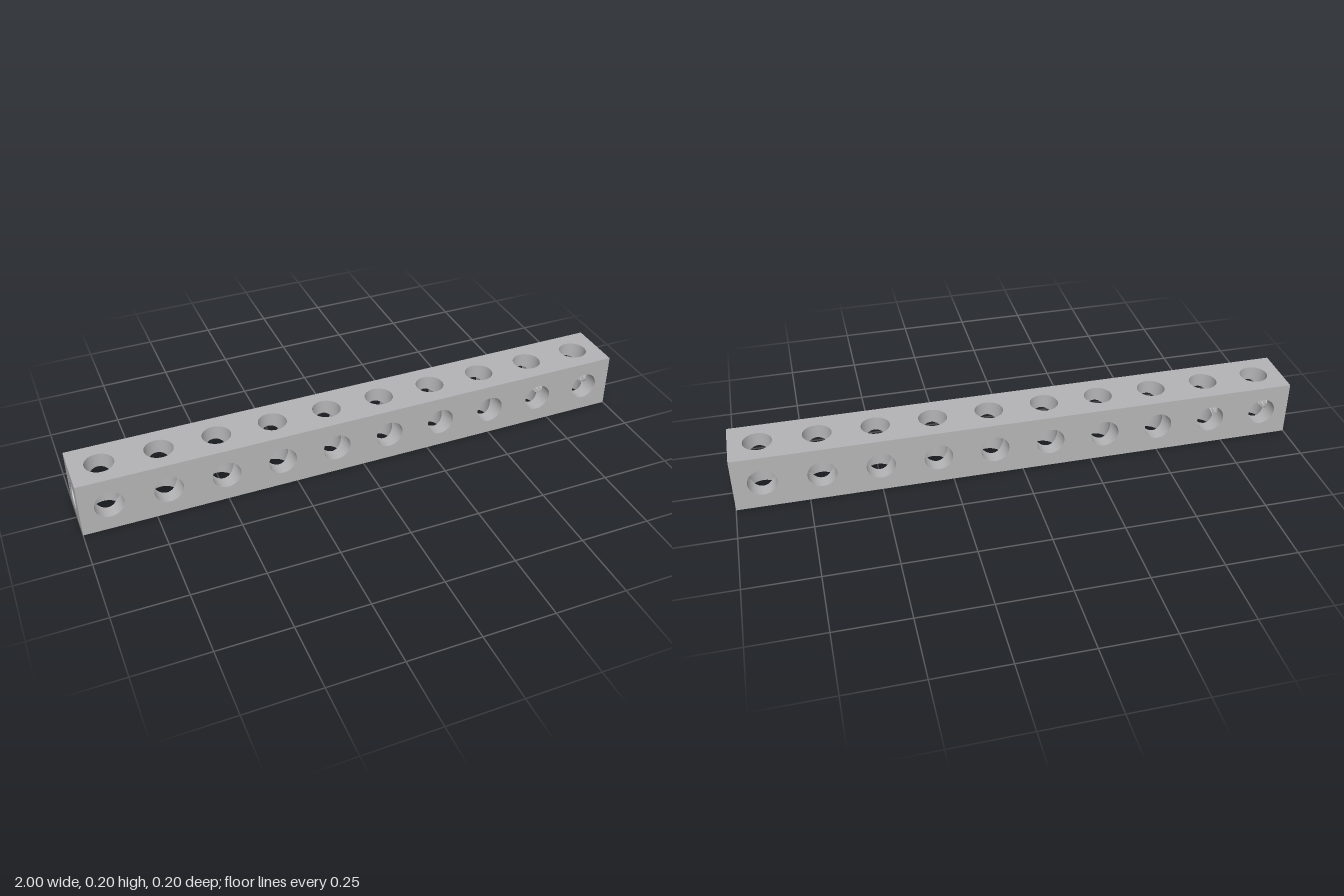
import * as THREE from 'three';
import { toCreasedNormals } from 'three/addons/utils/BufferGeometryUtils.js';

const N = 96;            // segments round every hole
const H = 0.1;           // half thickness of the beam
const R = 0.05;          // radius of the cross holes
const PITCH = 0.0175;    // thread pitch
const MINOR = 0.0415, MAJOR = 0.0495;
const PROFILE = [0, 0.2, 0.5, 0.7]; // crest, flank, root, flank

// Surface from a rule: point(i, j) gives a corner; flip turns the faces round
function grid(ni, nj, point, flip, crease) {
  const pos = [], index = [];
  for (let i = 0; i <= ni; i++) for (let j = 0; j <= nj; j++) pos.push(...point(i, j));
  const same = (a, b) => [0, 1, 2].every(k => Math.abs(pos[a * 3 + k] - pos[b * 3 + k]) < 1e-7);
  const tri = (a, b, c) => {
    if (same(a, b) || same(b, c) || same(a, c)) return;
    if (flip) index.push(a, c, b); else index.push(a, b, c);
  };
  for (let i = 0; i < ni; i++) for (let j = 0; j < nj; j++) {
    const a = i * (nj + 1) + j, b = a + nj + 1;
    tri(a, b, b + 1);
    tri(a, b + 1, a + 1);
  }
  const g = new THREE.BufferGeometry();
  g.setAttribute('position', new THREE.Float32BufferAttribute(pos, 3));
  g.setIndex(index);
  g.computeVertexNormals();
  return crease ? toCreasedNormals(g, crease) : g;
}

// Radius of the threaded bore at an angle round x and a place along x
function boreRadius(phi, x) {
  let p = x / PITCH - phi / (2 * Math.PI);
  p -= Math.floor(p);
  const t = p < 0.2 ? 0 : p < 0.5 ? (p - 0.2) / 0.3 : p < 0.7 ? 1 : (1 - p) / 0.3;
  return MINOR + (MAJOR - MINOR) * t;
}

// Where the bore breaks into the pair of cross holes centred at c
function breakIn(phi, c, side) {
  const m = Math.min(Math.cos(phi) ** 2, Math.sin(phi) ** 2);
  let x = c + side * R;
  for (let k = 0; k < 24; k++) {
    const b = boreRadius(phi, x);
    x = (x + c + side * Math.sqrt(R * R - b * b * m)) / 2;
  }
  return x;
}

// Half of a cross hole's wall, cut by the other cross hole and by the bore
function holeWall(c, alongZ, side, boredSides) {
  const place = (x, a, b) => (alongZ ? [x, b, a] : [x, a, b]);
  return grid(N, 1, (i, j) => {
    const th = (i / N) * Math.PI * 2;
    const x = c + R * Math.cos(th), b = R * Math.sin(th);
    let start = Math.abs(b);
    if (boredSides.includes(Math.sign(Math.cos(th)))) {
      let a = start;
      for (let k = 0; k < 24; k++) {
        const [, y, z] = place(x, side * a, b);
        const r = boreRadius(Math.atan2(z, y), x);
        a = (a + Math.sqrt(Math.max(0, r * r - b * b))) / 2;
      }
      start = Math.max(start, a);
    }
    return place(x, side * (j ? H : start), b);
  }, (side < 0) !== alongZ);
}

// Threaded bore between two limits that depend on the angle
function threadWall(lo, hi, from, to) {
  const k0 = Math.floor(from / PITCH) - 2;
  const count = (Math.ceil(to / PITCH) + 1 - k0) * 4;
  return grid(N, count, (i, j) => {
    const phi = (i / N) * Math.PI * 2;
    const raw = PITCH * (k0 + Math.floor(j / 4) + PROFILE[j % 4] + i / N);
    const x = Math.min(Math.max(raw, lo(phi)), hi(phi));
    const b = boreRadius(phi, x);
    return [x, b * Math.cos(phi), b * Math.sin(phi)];
  }, true, 0.5);
}

function rectangle(w, h) {
  return new THREE.Shape([[-w, -h], [w, -h], [w, h], [-w, h]].map(p => new THREE.Vector2(...p)));
}

export function createModel() {
  const model = new THREE.Group();
  model.name = 'perforatedBeam';
  const metal = new THREE.MeshStandardMaterial({ color: 0xb4b4b6 });
  metal.name = 'grey metal';
  const add = (parent, name, geometry) => {
    const mesh = new THREE.Mesh(geometry, metal);
    mesh.name = name;
    parent.add(mesh);
    return mesh;
  };
  const beam = new THREE.Group();
  beam.name = 'beam';
  beam.position.y = H;
  model.add(beam);

  // Four long sides, each with ten round holes
  const sideShape = rectangle(1, H);
  for (let k = 0; k < 10; k++) {
    sideShape.holes.push(new THREE.Path().absarc(-0.9 + 0.2 * k, 0, R, 0, Math.PI * 2, true));
  }
  const sideFace = new THREE.ShapeGeometry(sideShape, N / 2).translate(0, 0, H);
  ['frontSide', 'bottomSide', 'backSide', 'topSide'].forEach((name, k) => {
    add(beam, name, sideFace).rotation.x = k * Math.PI / 2;
  });

  // End face with the mouth of the threaded bore
  const endShape = rectangle(H, H);
  const mouth = [];
  for (let i = 0; i < N; i++) {
    const phi = (i / N) * Math.PI * 2, b = boreRadius(phi, 1);
    mouth.push(new THREE.Vector2(-b * Math.sin(phi), b * Math.cos(phi)));
  }
  endShape.holes.push(new THREE.Path(mouth));
  const endFace = new THREE.ShapeGeometry(endShape).rotateY(Math.PI / 2).translate(1, 0, 0);

  // Threads: mouth to the first cross hole, then on to the second
  const outerThread = threadWall(p => breakIn(p, 0.9, 1), () => 1, 0.93, 1);
  const innerThread = threadWall(p => breakIn(p, 0.7, 1), p => breakIn(p, 0.9, -1), 0.73, 0.87);

  // Cross hole walls of one half
  const walls = [];
  for (let k = 0; k < 5; k++) {
    const bored = k === 4 ? [-1, 1] : k === 3 ? [1] : [];
    for (const alongZ of [false, true]) for (const side of [-1, 1]) {
      walls.push([alongZ ? 'crossHole' : 'uprightHole', holeWall(0.1 + 0.2 * k, alongZ, side, bored)]);
    }
  }

  // Both halves are the same, turned half round
  ['leftHalf', 'rightHalf'].forEach((name, k) => {
    const half = new THREE.Group();
    half.name = name;
    half.rotation.y = k * Math.PI;
    beam.add(half);
    add(half, 'endFace', endFace);
    add(half, 'outerThread', outerThread);
    add(half, 'innerThread', innerThread);
    walls.forEach(([label, geometry]) => add(half, label, geometry));
  });
  return model;
}
